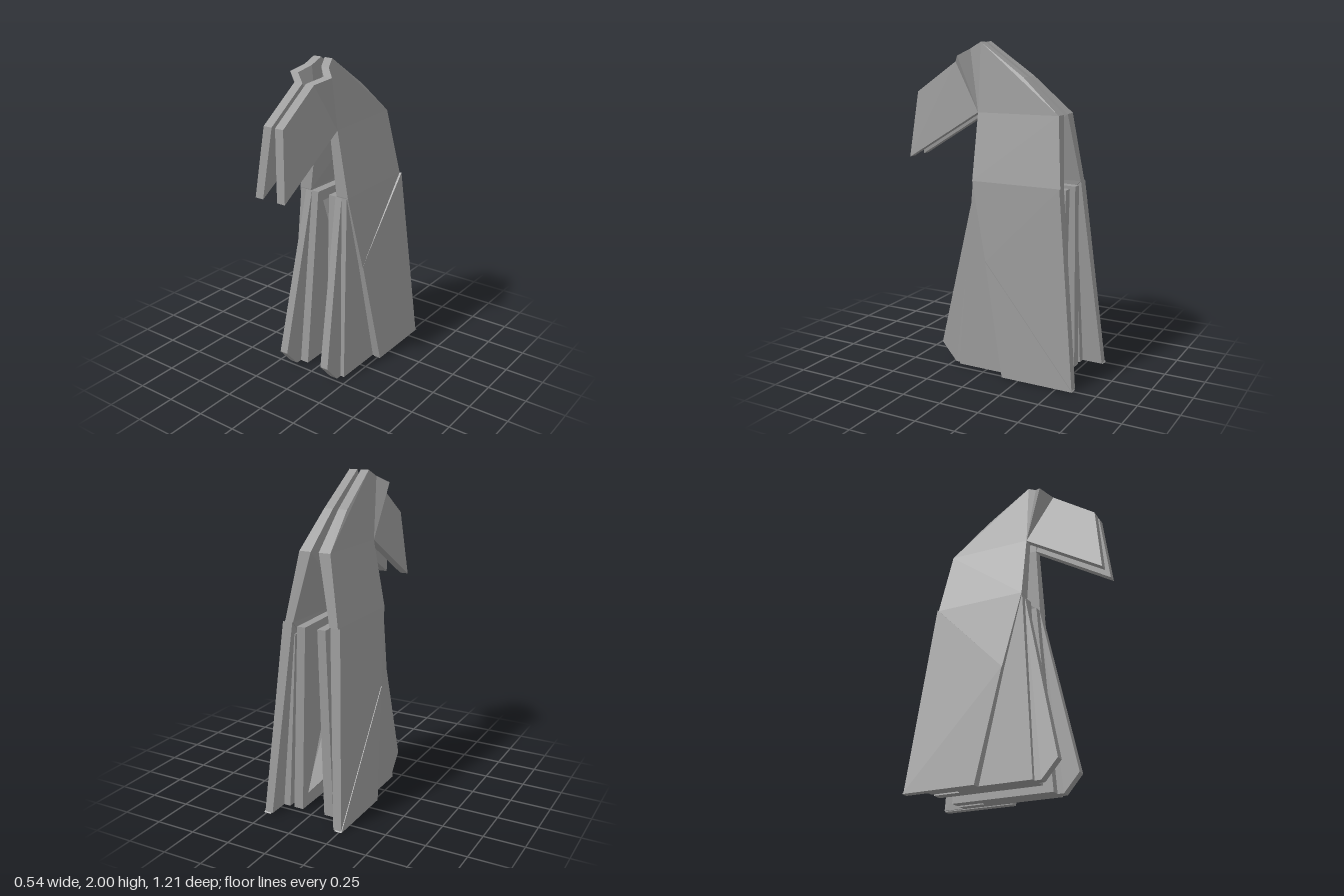
import * as THREE from 'three';

const material = new THREE.MeshStandardMaterial({ color: 0x999999, flatShading: true });

// Folded sheet with thickness. Points are [z, y, inner x, outer x], listed
// counter-clockwise as seen from +x; faces are the flat regions between creases.
function foldedSheet(name, points, side, faces = [points.map((_, i) => i)]) {
  const positions = [];
  const corner = (i, outer) => {
    const [z, y, xi, xo] = points[i];
    return [side * (outer ? xo : xi), y, z];
  };
  const tri = (a, b, c) => positions.push(...a, ...(side > 0 ? [...b, ...c] : [...c, ...b]));

  for (const face of faces) {
    const flat = face.map(i => new THREE.Vector2(-points[i][0], points[i][1]));
    for (const t of THREE.ShapeUtils.triangulateShape(flat, [])) {
      const turn = THREE.ShapeUtils.area(t.map(k => flat[k]));
      const [a, b, c] = (turn > 0 ? t : [t[0], t[2], t[1]]).map(k => face[k]);
      tri(corner(a, true), corner(b, true), corner(c, true));
      tri(corner(a, false), corner(c, false), corner(b, false));
    }
  }
  // Rim joining the inner and outer skins
  points.forEach((_, i) => {
    const j = (i + 1) % points.length;
    tri(corner(i, true), corner(i, false), corner(j, false));
    tri(corner(i, true), corner(j, false), corner(j, true));
  });

  const geometry = new THREE.BufferGeometry();
  geometry.setAttribute('position', new THREE.Float32BufferAttribute(positions, 3));
  geometry.computeVertexNormals();
  const mesh = new THREE.Mesh(geometry, material);
  mesh.name = name;
  return mesh;
}

function createHalf(side) {
  const half = new THREE.Group();
  half.name = side > 0 ? 'leftHalf' : 'rightHalf';

  // Head, crimped cheek, neck and shoulder triangle in one folded sheet
  half.add(foldedSheet('headAndNeck', [
    [0.11, 2.0, 0.012, 0.065],
    [0.17, 1.96, 0.033, 0.085],
    [0.225, 1.92, 0.09, 0.147],
    [0.285, 1.88, 0.012, 0.068],
    [0.56, 1.69, 0.012, 0.068],
    [0.605, 1.28, 0.05, 0.105],
    [0.11, 1.585, 0.045, 0.102],
    [0.11, 1.18, 0.095, 0.178],
    [0.0, 0.7, 0.165, 0.215],
    [-0.47, 1.18, 0.12, 0.174],
    [-0.42, 1.59, 0.026, 0.1],
    [-0.18, 1.8, 0.018, 0.075],
  ], side, [
    [0, 1, 6], [1, 2, 6], [2, 3, 6], [3, 4, 5, 6],
    [0, 6, 7, 10, 11], [7, 9, 10], [7, 8, 9],
  ]));

  // Large body panel, standing slightly proud of the shoulder at the back
  half.add(foldedSheet('bodyPanel', [
    [0.0, 0.7, 0.165, 0.215],
    [-0.14, 0.005, 0.21, 0.258],
    [-0.6, 0.005, 0.21, 0.262],
    [-0.47, 1.18, 0.125, 0.188],
  ], side));

  // Triangular flap folded up over the lower body
  half.add(foldedSheet('sideFlap', [
    [0.0, 0.7, 0.19, 0.219],
    [-0.14, 0, 0.22, 0.268],
    [-0.605, 0, 0.22, 0.267],
  ], side));

  // Layers inside the body, from outermost to innermost
  half.add(foldedSheet('middleLayer', [
    [0.11, 1.175, 0.125, 0.17],
    [0.19, 0.005, 0.165, 0.212],
    [-0.47, 0.005, 0.165, 0.212],
    [-0.44, 1.1, 0.125, 0.168],
  ], side));
  half.add(foldedSheet('frontFoot', [
    [0.11, 1.175, 0.088, 0.132],
    [0.33, 0.12, 0.132, 0.186],
    [0.23, 0.005, 0.132, 0.188],
    [-0.3, 0.005, 0.132, 0.175],
    [-0.3, 1.1, 0.088, 0.132],
  ], side));
  half.add(foldedSheet('innerLayer', [
    [0.11, 1.175, 0.04, 0.093],
    [0.19, 0.005, 0.075, 0.137],
    [-0.47, 0.005, 0.075, 0.137],
    [-0.47, 1.16, 0.04, 0.093],
  ], side));

  // Sloping web reaching from the inner layer to the centre line
  const gusset = foldedSheet('centreWeb', [
    [0.06, 1.02, 0.0, 0.045],
    [-0.28, 0.17, 0.0, 0.08],
    [-0.355, 0.17, 0.0, 0.08],
    [-0.02, 1.02, 0.0, 0.045],
  ], side);
  // V-shaped ends: the outer edge rises at the top, drops and recedes at the bottom
  const p = gusset.geometry.attributes.position;
  for (let i = 0; i < p.count; i++) {
    if (Math.abs(p.getX(i)) < 0.01) continue;
    const top = p.getY(i) > 0.5;
    p.setY(i, p.getY(i) + (top ? 0.09 : -0.09));
    if (!top) p.setZ(i, p.getZ(i) - 0.06);
  }
  gusset.geometry.computeVertexNormals();
  half.add(gusset);
  return half;
}

export function createModel() {
  const model = new THREE.Group();
  model.name = 'foldedHorse';
  for (const side of [1, -1]) model.add(createHalf(side));
  return model;
}
